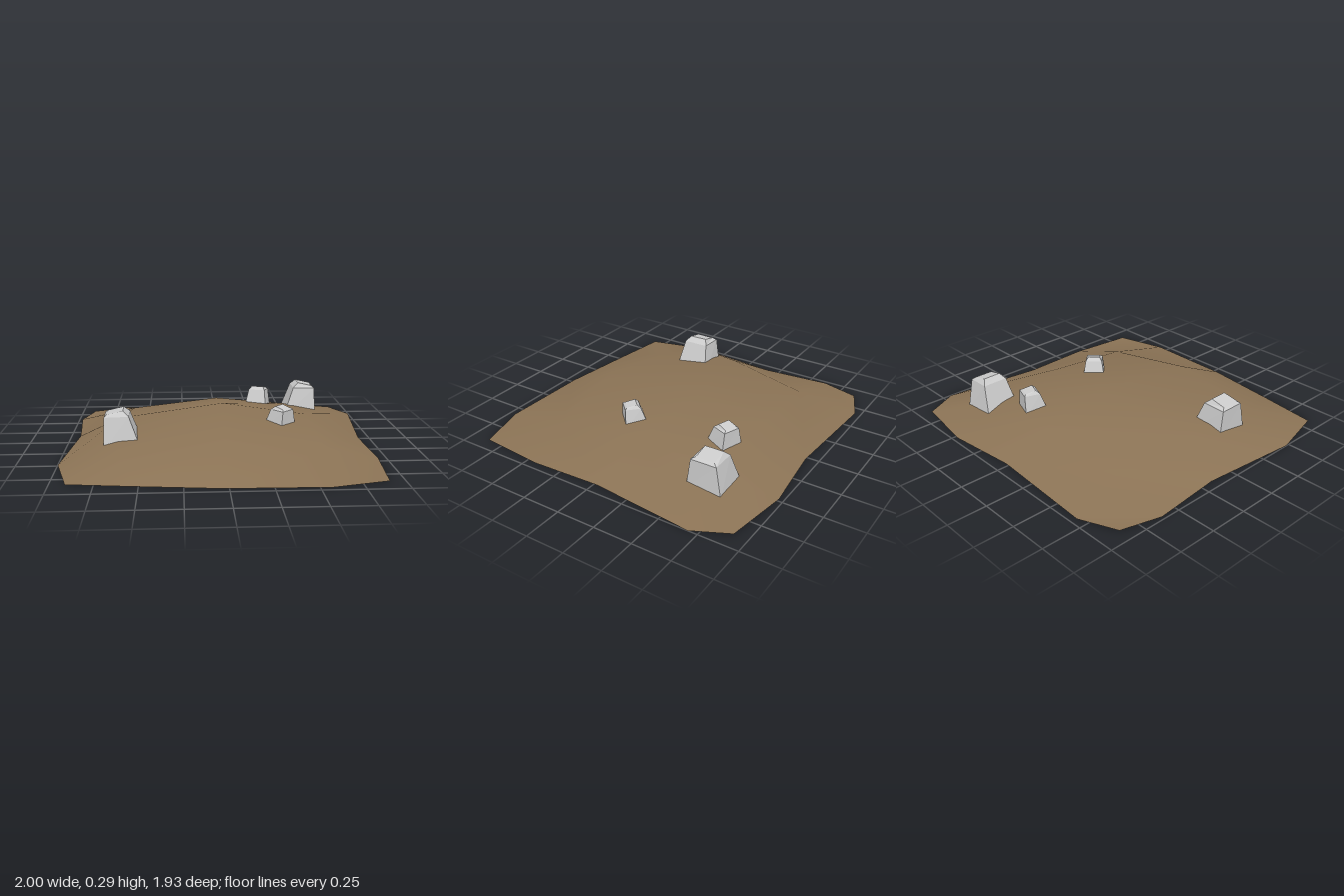
import * as THREE from 'three';

// Mound control grid, back row to front row, left to right: x, height, z
const ROWS = [
  [[-0.91, 0, -0.86], [-0.68, 0, -0.96], [0.02, 0, -0.92], [0.48, 0, -0.97], [0.89, 0, -0.91]],
  [[-0.98, 0, -0.61], [-0.6, 0.09, -0.58], [0.0, 0.15, -0.62], [0.56, 0.1, -0.6], [1.0, 0, -0.69]],
  [[-0.94, 0, -0.16], [-0.66, 0.16, -0.02], [0.02, 0.22, -0.15], [0.57, 0.155, -0.08], [0.93, 0, -0.02]],
  [[-1.0, 0, 0.48], [-0.64, 0.08, 0.55], [0.0, 0.152, 0.6], [0.6, 0.09, 0.52], [0.95, 0, 0.44]],
  [[-0.91, 0, 0.84], [-0.53, 0, 0.89], [-0.03, 0, 0.95], [0.57, 0, 0.96], [0.91, 0, 0.87]],
];

// Rock cross-sections from base to tilted top; one side is steep, the opposite one leans
const ROCK_RINGS = [
  [[-0.108, -0.2, -0.112], [0.122, -0.2, -0.122], [0.125, -0.2, 0.118], [-0.108, -0.2, 0.12]],
  [[-0.104, 0, -0.085], [0.048, 0.005, -0.085], [0.05, 0.005, 0.085], [-0.102, 0, 0.082]],
  [[-0.085, 0.015, -0.06], [0.012, 0.037, -0.06], [0.015, 0.037, 0.06], [-0.085, 0.015, 0.06]],
];

function rockGeometry() {
  const index = [];
  for (let r = 0; r < ROCK_RINGS.length - 1; r++) {
    for (let i = 0; i < 4; i++) {
      const a = r * 4 + i, b = r * 4 + (i + 1) % 4;
      index.push(a, a + 4, b, b, a + 4, b + 4);
    }
  }
  const t = (ROCK_RINGS.length - 1) * 4;
  index.push(0, 1, 2, 0, 2, 3, t, t + 2, t + 1, t, t + 3, t + 2);
  const geo = new THREE.BufferGeometry();
  geo.setAttribute('position', new THREE.Float32BufferAttribute(ROCK_RINGS.flat(2), 3));
  geo.setIndex(index);
  const flat = geo.toNonIndexed();
  flat.computeVertexNormals();
  return flat;
}

function createMound() {
  const mound = new THREE.Group();
  mound.name = 'mound';
  const earth = new THREE.MeshStandardMaterial({ color: 0x8b7355 });

  // smooth upper surface
  const topGeo = new THREE.PlaneGeometry(2, 2, 4, 4);
  ROWS.flat().forEach((p, i) => topGeo.attributes.position.setXYZ(i, ...p));
  topGeo.computeVertexNormals();
  const top = new THREE.Mesh(topGeo, earth);
  top.name = 'moundTop';

  // flat underside following the same rim
  const rim = [
    ...ROWS[0],
    ...ROWS.slice(1, 4).map((row) => row[4]),
    ...[...ROWS[4]].reverse(),
    ...ROWS.slice(1, 4).map((row) => row[0]).reverse(),
  ];
  const shape = new THREE.Shape(rim.map(([x, , z]) => new THREE.Vector2(x, z)));
  const base = new THREE.Mesh(new THREE.ShapeGeometry(shape).rotateX(Math.PI / 2), earth);
  base.name = 'moundBase';

  mound.add(top, base);
  return mound;
}

export function createModel() {
  const model = new THREE.Group();
  model.name = 'rockyMound';
  model.add(createMound());

  // four rocks from one shape: x, shoulder height, z, turn in degrees, scale
  const stone = new THREE.MeshStandardMaterial({ color: 0xcccccc, flatShading: true });
  const geo = rockGeometry();
  const rocks = [
    ['largeRockRight', -0.63, 0.25, 0.25, 0, 1],
    ['largeRockLeft', 0.605, 0.235, -0.605, 180, 1],
    ['smallRockFront', 0.38, 0.235, 0.1, 135, 0.65],
    ['smallRockBack', 0.295, 0.235, -0.5, -110, 0.67],
  ];
  for (const [name, x, y, z, turn, scale] of rocks) {
    const rock = new THREE.Mesh(geo, stone);
    rock.name = name;
    rock.position.set(x, y, z);
    rock.rotation.y = THREE.MathUtils.degToRad(turn);
    rock.scale.setScalar(scale);
    model.add(rock);
  }
  return model;
}
